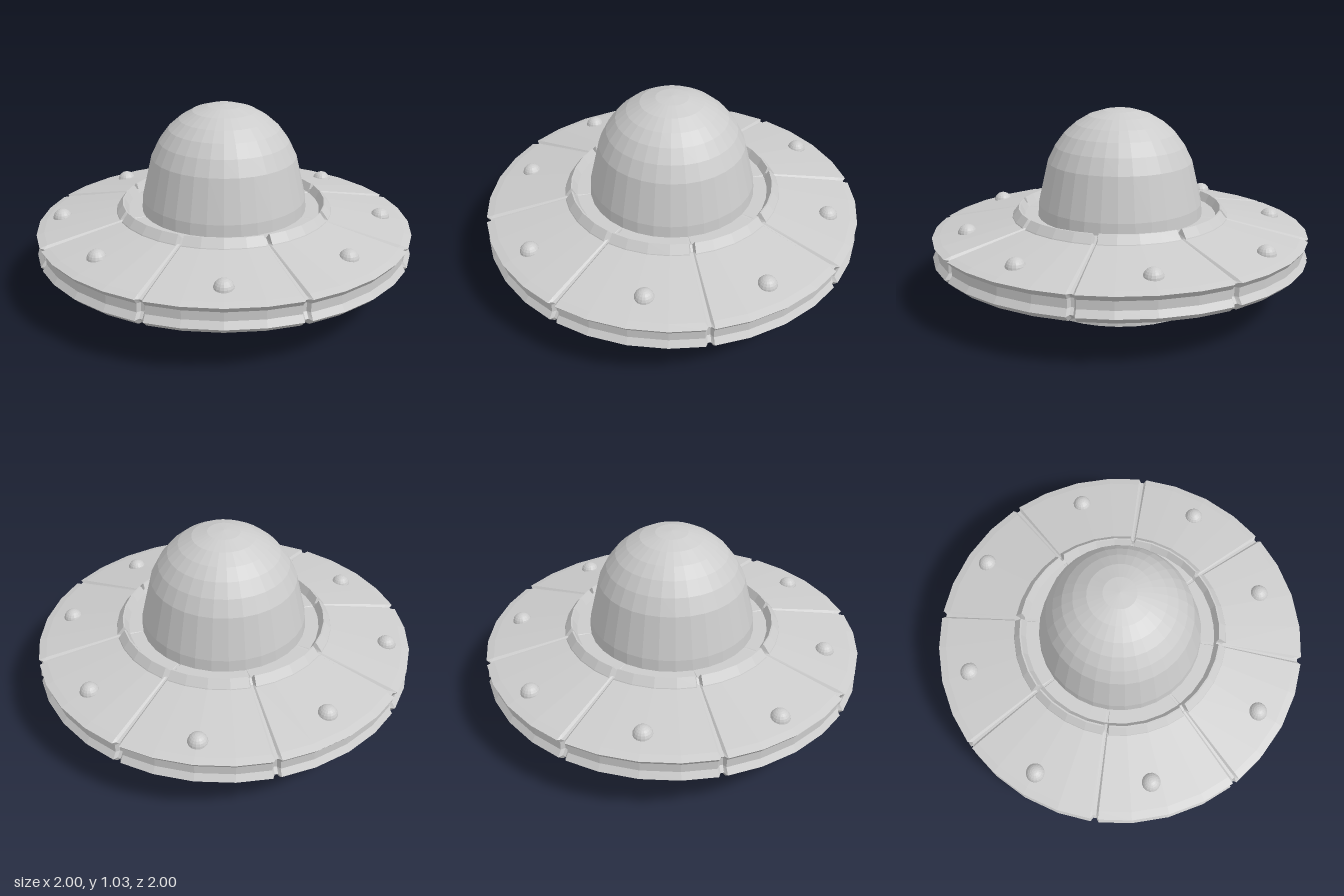
import * as THREE from 'three';

const grey = new THREE.MeshStandardMaterial({ color: 0xcccccc, flatShading: true });
const v2 = (pts) => pts.map(([r, y]) => new THREE.Vector2(r, y));

function addMesh(parent, name, geometry) {
  const mesh = new THREE.Mesh(geometry, grey);
  mesh.name = name;
  parent.add(mesh);
  return mesh;
}

// Lathe of eight panels, separated by narrow sunken seams at 22.5 + 45k degrees
function panelledLathe(profile, halfWidth, depths) {
  const edge = 22.5 - halfWidth;
  const steps = [-edge, -11.25, 0, 11.25, edge, 22.5 - halfWidth * 0.4, 22.5 + halfWidth * 0.4];
  const n = steps.length;
  const geo = new THREE.LatheGeometry(v2(profile), 8 * n);
  const pos = geo.attributes.position;
  for (let i = 0; i <= 8 * n; i++) {
    const angle = THREE.MathUtils.degToRad(Math.floor(i / n) * 45 + steps[i % n]);
    const inSeam = i % n >= 5;
    profile.forEach(([r, y], j) => {
      const [dr, dy] = inSeam ? depths[j] : [0, 0];
      const radius = r - dr;
      pos.setXYZ(i * profile.length + j, radius * Math.sin(angle), y + dy, radius * Math.cos(angle));
    });
  }
  geo.computeVertexNormals();
  return geo;
}

export function createModel() {
  const model = new THREE.Group();
  model.name = 'flyingSaucer';

  // Saucer hull with a channelled rim
  addMesh(model, 'hull', panelledLathe(
    [[0.45, 0.105], [0.515, 0.105], [0.965, 0.235], [1, 0.267], [0.978, 0.3],
      [0.978, 0.345], [1, 0.374], [0.96, 0.386], [0.56, 0.467], [0.42, 0.467]],
    1.2,
    [[0, 0], [0, 0.004], [0.012, 0.012], [0.02, 0.004], [0.02, 0],
      [0.02, 0], [0.02, -0.004], [0.012, -0.01], [0, -0.006], [0, 0]]));

  // Raised collar around the dome
  addMesh(model, 'collar', panelledLathe(
    [[0.58, 0.455], [0.575, 0.468], [0.543, 0.51], [0.535, 0.51], [0.51, 0.465]],
    1.6,
    [[0.02, 0], [0.025, -0.005], [0.02, -0.025], [0.012, -0.025], [0, 0]]));

  // Stepped landing base
  addMesh(model, 'base', new THREE.LatheGeometry(v2(
    [[0, 0], [0.467, 0], [0.467, 0.068], [0.515, 0.068], [0.515, 0.108], [0.45, 0.108]]), 32));

  // Cockpit dome
  addMesh(model, 'dome', new THREE.LatheGeometry(v2(
    [[0.44, 0.46], [0.435, 0.53], [0.383, 0.755], [0.342, 0.838], [0.292, 0.905],
      [0.235, 0.955], [0.165, 0.997], [0.085, 1.022], [0, 1.03]]), 32));

  // Lamps spaced around the upper hull
  const lamps = new THREE.Group();
  lamps.name = 'lamps';
  const lampGeo = new THREE.SphereGeometry(0.051, 16, 12);
  const spots = [[0, -0.87], [0.59, -0.6], [0.845, 0], [0.605, 0.545],
    [0, 0.85], [-0.615, 0.545], [-0.875, 0], [-0.59, -0.6]];
  spots.forEach(([x, z]) => {
    const lamp = addMesh(lamps, 'lamp', lampGeo);
    lamp.position.set(x, 0.395 + (0.86 - Math.hypot(x, z)) * 0.15, z);
  });
  model.add(lamps);

  return model;
}
